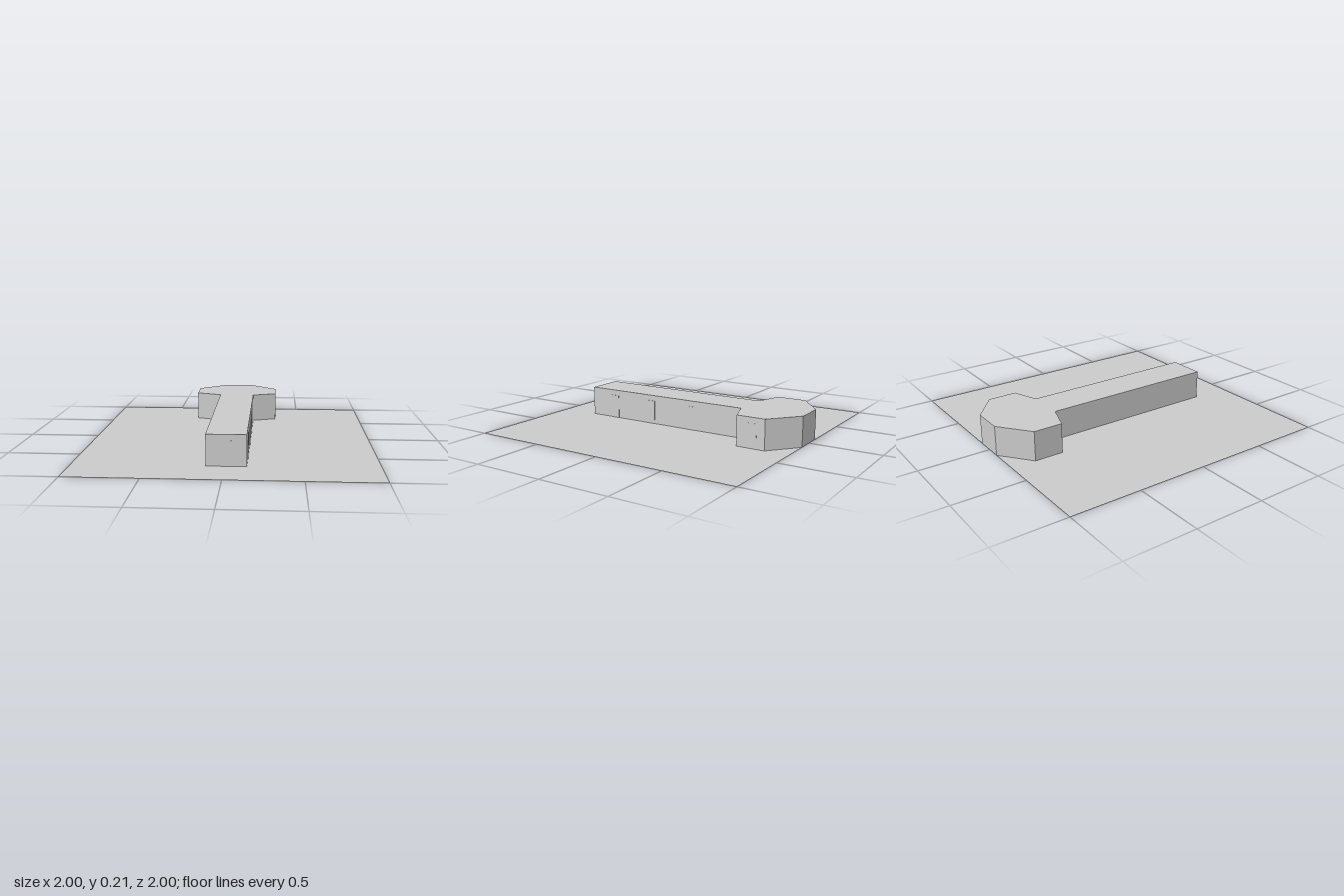
import * as THREE from 'three';

export function createModel() {
  const model = new THREE.Group();
  const grey = new THREE.MeshStandardMaterial({ color: 0xcccccc, flatShading: true });
  const thin = new THREE.MeshStandardMaterial({ color: 0xcccccc, side: THREE.DoubleSide });

  function add(name, geometry, material, x = 0, y = 0, z = 0) {
    const mesh = new THREE.Mesh(geometry, material);
    mesh.name = name;
    mesh.position.set(x, y, z);
    model.add(mesh);
  }

  // flat square ground sheet
  add('groundSheet', new THREE.PlaneGeometry(2, 2).rotateX(-Math.PI / 2), thin);

  // long hall with a faceted head, as a floor plan in x and z
  const plan = [
    [-0.125, 0.72], [0.14, 0.72], [0.14, -0.56], [0.32, -0.625], [0.32, -0.83],
    [0.115, -1], [-0.1, -1], [-0.315, -0.83], [-0.315, -0.625], [-0.125, -0.56],
  ];
  const shape = new THREE.Shape(plan.map(([x, z]) => new THREE.Vector2(x, -z)));
  const hall = new THREE.ExtrudeGeometry(shape, { depth: 0.21, bevelEnabled: false });
  add('building', hall.rotateX(-Math.PI / 2), grey);

  // thin door panels, standing just proud of the walls
  const width = 0.07, height = 0.17, depth = 0.006;
  for (const z of [-0.165, 0.185, 0.515]) {
    add('sideDoor', new THREE.BoxGeometry(depth, height, width), grey, 0.14, height / 2, z);
  }
  add('headDoor', new THREE.BoxGeometry(0.002, height, width), grey, 0.32, height / 2, -0.735);
  add('frontDoor', new THREE.BoxGeometry(width, height, depth), grey, 0.007, height / 2, 0.72);

  return model;
}
